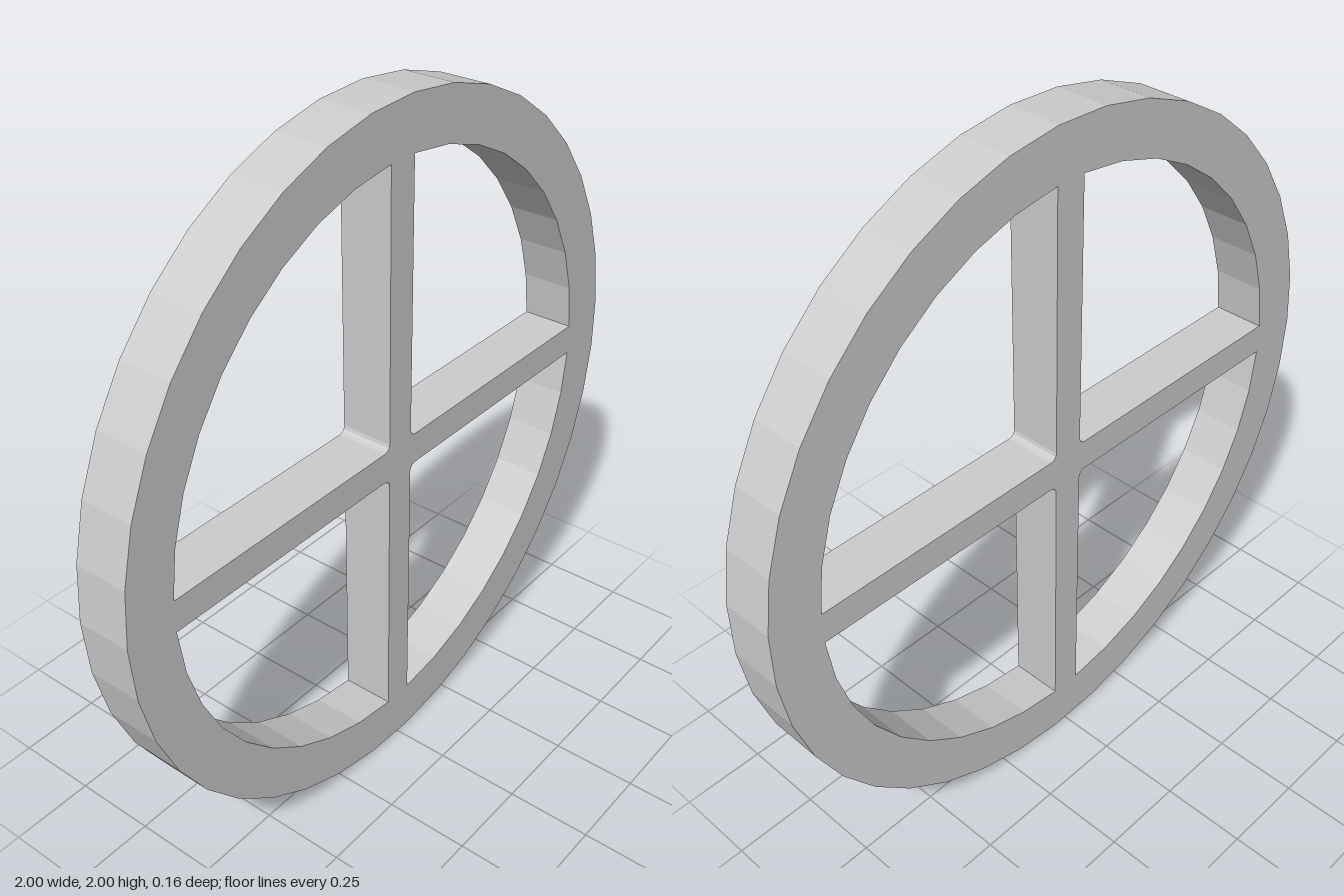
import * as THREE from 'three';

const SIDES = 39, OUTER = 1.0008, INNER = 0.85, DEPTH = 0.156;
const SPOKE = 0.046;  // half the spoke width
const FILLET = 0.02;  // rounding where the spokes meet

const polar = (r, a, cx = 0, cy = 0) =>
  new THREE.Vector2(cx + r * Math.cos(a), cy + r * Math.sin(a));

// Quarter-circle window between two spokes, turned into its quadrant
function windowPath(quadrant) {
  const pts = [];
  const start = Math.asin(SPOKE / INNER), sweep = Math.PI / 2 - 2 * start;
  for (let i = 0; i <= 9; i++) pts.push(polar(INNER, start + sweep * i / 9));
  const c = SPOKE + FILLET;
  for (let i = 0; i <= 3; i++) pts.push(polar(FILLET, Math.PI + Math.PI / 2 * i / 3, c, c));
  const origin = new THREE.Vector2();
  pts.forEach(p => p.rotateAround(origin, quadrant * Math.PI / 2));
  return new THREE.Path(pts);
}

export function createModel() {
  const group = new THREE.Group();
  group.name = 'spokedWheel';

  // Faceted rim, with a corner on the -x side
  const rim = [];
  for (let i = 0; i < SIDES; i++)
    rim.push(polar(OUTER, Math.PI + 2 * Math.PI * i / SIDES, 0.0016));
  const shape = new THREE.Shape(rim);

  // Four windows leave the crossed spokes
  for (let q = 0; q < 4; q++) shape.holes.push(windowPath(q));

  const geometry = new THREE.ExtrudeGeometry(shape, { depth: DEPTH, bevelEnabled: false });
  geometry.translate(0, 1, -DEPTH / 2);
  const wheel = new THREE.Mesh(geometry,
    new THREE.MeshStandardMaterial({ color: 0xcccccc, flatShading: true }));
  wheel.name = 'rimAndSpokes';
  group.add(wheel);
  return group;
}
